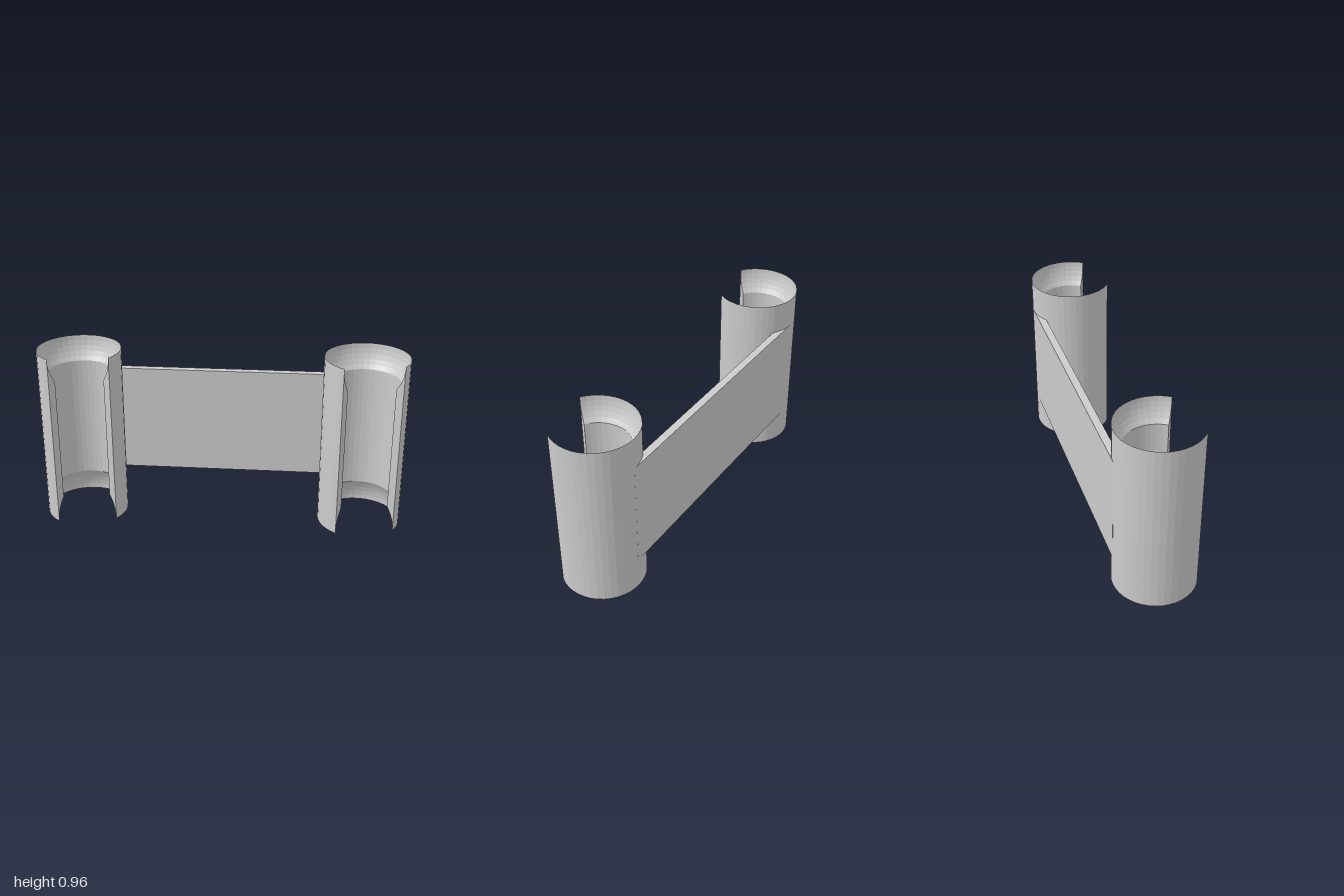
import * as THREE from 'three';

const H = 0.965;              // clip height
const R = 0.2275;             // outer radius
const BORE = 0.182;           // inner radius
const CX = 0.7725, CZ = 0.0195; // clip axis
const PHI_START = THREE.MathUtils.degToRad(-305);
const PHI_LENGTH = THREE.MathUtils.degToRad(270.7);

// Wall cross-section: straight outside, bore flaring spherically to a sharp rim at both ends
function wallProfile() {
  const flare = Math.acos(BORE / R);
  const steps = 5;
  const pts = [new THREE.Vector2(R, 0), new THREE.Vector2(R, H)];
  for (let i = 1; i <= steps; i++) {
    const t = flare * i / steps;
    pts.push(new THREE.Vector2(R * Math.cos(t), H - R * Math.sin(t)));
  }
  for (let i = steps; i >= 0; i--) {
    const t = flare * i / steps;
    pts.push(new THREE.Vector2(R * Math.cos(t), R * Math.sin(t)));
  }
  return pts;
}

export function createModel() {
  const group = new THREE.Group();
  const mat = new THREE.MeshStandardMaterial({ color: 0xcccccc, flatShading: true });
  const capMat = new THREE.MeshStandardMaterial({ color: 0xcccccc, side: THREE.DoubleSide });

  const profile = wallProfile();
  const wallGeo = new THREE.LatheGeometry(profile, 30, PHI_START, PHI_LENGTH);
  const lipGeo = new THREE.ShapeGeometry(new THREE.Shape(profile.slice(0, -1)));

  // Two identical open clips, both gaps facing the same way
  for (const [side, x] of [['left', CX], ['right', -CX]]) {
    const clip = new THREE.Group();
    clip.name = side + 'Clip';
    const wall = new THREE.Mesh(wallGeo, mat);
    wall.name = side + 'ClipWall';
    clip.add(wall);
    // Flat faces closing the wall at each side of the gap
    [PHI_START, PHI_START + PHI_LENGTH].forEach((phi, i) => {
      const lip = new THREE.Mesh(lipGeo, capMat);
      lip.name = side + 'ClipLip' + (i + 1);
      lip.rotation.y = phi - Math.PI / 2;
      clip.add(lip);
    });
    clip.position.set(x, 0, CZ);
    group.add(clip);
  }

  // Flat bar joining the backs of the clips
  const y0 = 0.18, y1 = 0.788, zBack = -0.208, zFront = -0.166;
  const bar = new THREE.Mesh(new THREE.BoxGeometry(2 * CX, y1 - y0, zFront - zBack), mat);
  bar.name = 'connectingBar';
  bar.position.set(0, (y0 + y1) / 2, (zBack + zFront) / 2);
  group.add(bar);

  return group;
}
